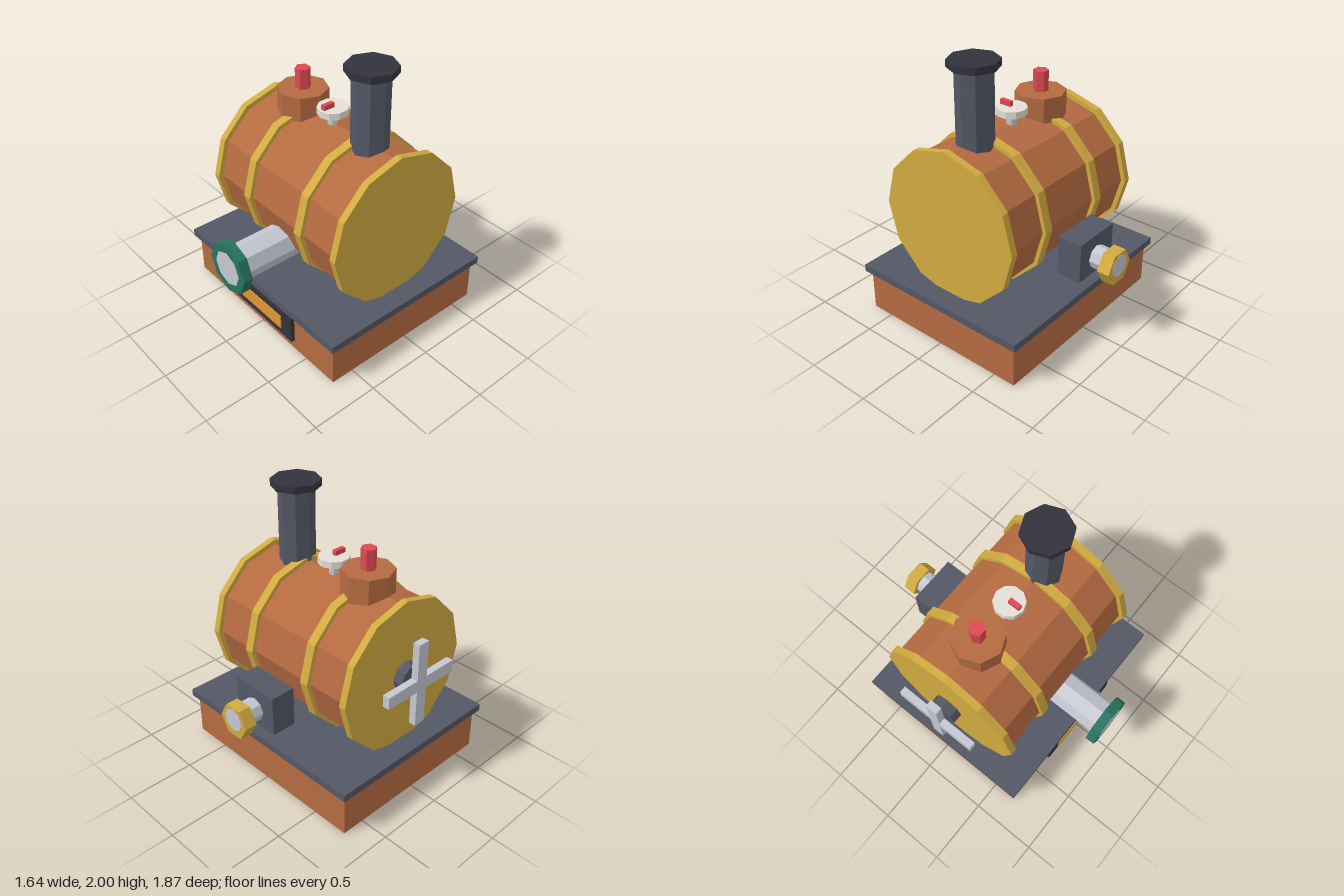
import * as THREE from 'three';

const mat = (name, color) => {
  const m = new THREE.MeshStandardMaterial({ color, flatShading: true });
  m.name = name;
  return m;
};

export function createModel() {
  const copper = mat('copper', 0xb56b41);
  const brass = mat('brass', 0xd2ab40);
  const slate = mat('slate', 0x545866);
  const dark = mat('charcoal', 0x33333d);
  const steel = mat('steel', 0xc5c8d3);
  const cream = mat('cream', 0xe4e0d6);
  const red = mat('red', 0xdc4a50);
  const green = mat('green', 0x27735f);
  const amber = mat('amber', 0xe0962f);

  const model = new THREE.Group();
  model.name = 'boiler';

  const add = (name, geometry, material, x, y, z, parent = model) => {
    const mesh = new THREE.Mesh(geometry, material);
    mesh.name = name;
    mesh.position.set(x, y, z);
    parent.add(mesh);
    return mesh;
  };
  const box = (w, h, d) => new THREE.BoxGeometry(w, h, d);
  // Faceted prism along an axis; corners point along the main directions unless spun
  const prism = (axis, r, length, sides, spin = 0) => {
    const g = new THREE.CylinderGeometry(r, r, length, sides).rotateY(spin);
    if (axis === 'x') g.rotateZ(Math.PI / 2);
    if (axis === 'z') g.rotateX(Math.PI / 2);
    return g;
  };
  const group = (name) => {
    const g = new THREE.Group();
    g.name = name;
    model.add(g);
    return g;
  };

  // Base with its top plate and glowing firebox window
  add('base', box(1.57, 0.33, 1.34), copper, 0, 0.165, 0);
  add('basePlate', box(1.64, 0.055, 1.41), slate, 0, 0.3475, 0);
  add('fireboxFrame', box(0.745, 0.22, 0.04), dark, 0, 0.19, 0.68);
  add('fireboxWindow', box(0.525, 0.11, 0.009), amber, 0, 0.19, 0.7035);

  // Tank, lying along x, with two bands and two end caps
  add('tank', prism('x', 0.525, 1.3, 12), copper, 0, 0.9, 0);
  for (const side of [-1, 1]) {
    add('tankBand', prism('x', 0.555, 0.068, 12), brass, side * 0.281, 0.9, 0);
    add('endCap', prism('x', 0.56, 0.052, 12), brass, side * 0.644, 0.9, 0);
  }

  // Chimney
  const chimney = group('chimney');
  add('chimneyPipe', prism('y', 0.13, 0.63, 8), slate, 0.37, 1.64, 0, chimney);
  add('chimneyCap', prism('y', 0.178, 0.05, 8), dark, 0.37, 1.975, 0, chimney);

  // Valve dome with its red whistle
  const dome = group('valveDome');
  add('dome', prism('y', 0.185, 0.23, 8), copper, -0.32, 1.455, 0, dome);
  add('whistle', prism('y', 0.055, 0.16, 6, Math.PI / 2), red, -0.32, 1.64, 0, dome);

  // Pressure gauge
  const gauge = group('gauge');
  add('gaugeStem', prism('y', 0.036, 0.12, 8), steel, 0, 1.45, 0, gauge);
  add('gaugeDial', prism('y', 0.112, 0.05, 10), cream, 0, 1.525, 0, gauge);
  add('gaugeNeedle', box(0.034, 0.036, 0.09), red, 0, 1.567, 0.045, gauge);

  // Front outlet pipe with flange
  const outlet = group('frontOutlet');
  add('outletPipe', prism('z', 0.132, 0.537, 8), steel, 0, 0.64, 0.6685, outlet);
  add('outletFlange', prism('z', 0.195, 0.07, 8), green, 0, 0.64, 0.9, outlet);

  // Rear pump box with tap
  const pump = group('rearPump');
  add('pumpBox', box(0.375, 0.295, 0.185), slate, 0, 0.677, -0.655, pump);
  add('tapPipe', prism('z', 0.085, 0.207, 8), steel, 0, 0.655, -0.8335, pump);
  add('tapNut', prism('z', 0.13, 0.092, 6, Math.PI / 2), brass, 0, 0.64, -0.889, pump);

  // Hand wheel: hub and crossed bars at the tank's end
  const wheel = group('handWheel');
  add('wheelHub', prism('x', 0.11, 0.085, 8), slate, -0.7025, 0.9, 0, wheel);
  add('wheelBarUpright', box(0.053, 0.635, 0.09), steel, -0.797, 0.9, 0, wheel);
  add('wheelBarAcross', box(0.053, 0.09, 0.635), steel, -0.797, 0.9, 0, wheel);

  return model;
}
